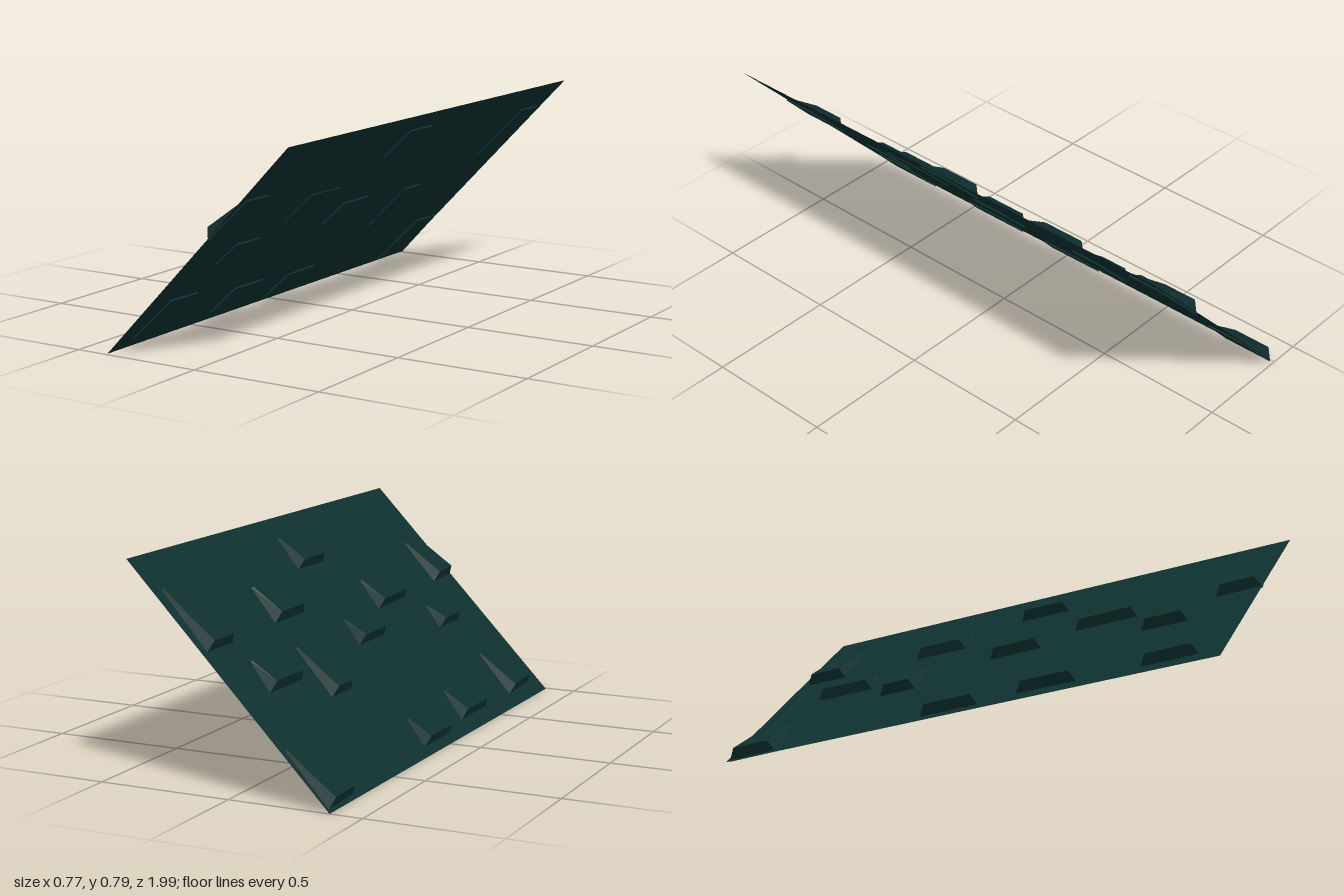
import * as THREE from 'three';

const RISE = 0.79, RUN = 0.76;
const SLOPE = Math.atan2(RISE, RUN);
const STRETCH = 1 / Math.cos(SLOPE); // plan distance -> distance along the slope

// Wedge-shaped slate: thick and wide at the lower end, thin and narrow at the upper end
function slateGeometry(length, width, sink, thick) {
  const geo = new THREE.BoxGeometry(1, 1, 1);
  const p = geo.attributes.position;
  for (let i = 0; i < p.count; i++) {
    const upper = p.getX(i) > 0, top = p.getY(i) > 0, side = Math.sign(p.getZ(i));
    const half = (width / 2) * (upper ? 0.76 : 1) - (top ? (upper ? 0.006 : 0.025) : 0);
    p.setXYZ(
      i,
      upper ? length : top ? 0.018 : 0, // lower end face leans up the slope
      top ? (upper ? 0.006 : thick) : -sink,
      side * half
    );
  }
  const flat = geo.toNonIndexed();
  flat.computeVertexNormals();
  return flat;
}

export function createModel() {
  const model = new THREE.Group();
  model.name = 'slopedRoof';

  const sheetMaterial = new THREE.MeshStandardMaterial({ color: 0x0f3030, side: THREE.DoubleSide });
  sheetMaterial.name = 'dark teal';

  // Everything is laid out flat on the slope, then tilted
  const slope = new THREE.Group();
  slope.name = 'slope';
  slope.position.y = RISE / 2;
  slope.rotation.z = SLOPE;
  model.add(slope);

  // Thin roof sheet
  const sheetGeo = new THREE.PlaneGeometry(RUN * STRETCH, 1.99);
  sheetGeo.rotateX(-Math.PI / 2);
  const sheet = new THREE.Mesh(sheetGeo, sheetMaterial);
  sheet.name = 'roofSheet';
  sheet.position.z = -0.005;
  slope.add(sheet);

  // Raised slates: lower x, upper x, back z, front z, sink below the sheet, twist
  const slates = [
    [-0.37, -0.2, -0.99, -0.79, 0.006, 0.03],
    [0.09, 0.28, -0.97, -0.79, 0.006, 0],
    [-0.06, 0.03, -0.81, -0.57, 0, 0],
    [-0.135, 0.02, -0.49, -0.33, 0.006, 0],
    [0.1, 0.21, -0.47, -0.25, 0, 0],
    [-0.355, -0.27, -0.18, 0.06, 0.006, 0],
    [-0.04, 0.04, -0.07, 0.15, 0.006, 0],
    [0.215, 0.32, -0.07, 0.14, 0.006, 0],
    [-0.34, -0.25, 0.2, 0.44, 0.006, 0],
    [0.035, 0.13, 0.25, 0.51, 0.004, 0.03],
    [-0.085, -0.01, 0.57, 0.76, 0.006, 0],
    [-0.34, -0.2, 0.68, 0.9, 0.006, 0.04],
    [0.05, 0.19, 0.81, 0.99, 0.006, 0.05],
  ];
  slates.forEach(([x0, x1, z0, z1, sink, twist], i) => {
    const slate = new THREE.Mesh(
      slateGeometry((x1 - x0) * STRETCH, z1 - z0, sink, 0.038),
      sheetMaterial
    );
    slate.name = `slate${i + 1}`;
    slate.position.set(x0 * STRETCH, 0, (z0 + z1) / 2);
    slate.rotation.y = twist;
    slope.add(slate);
  });

  return model;
}
